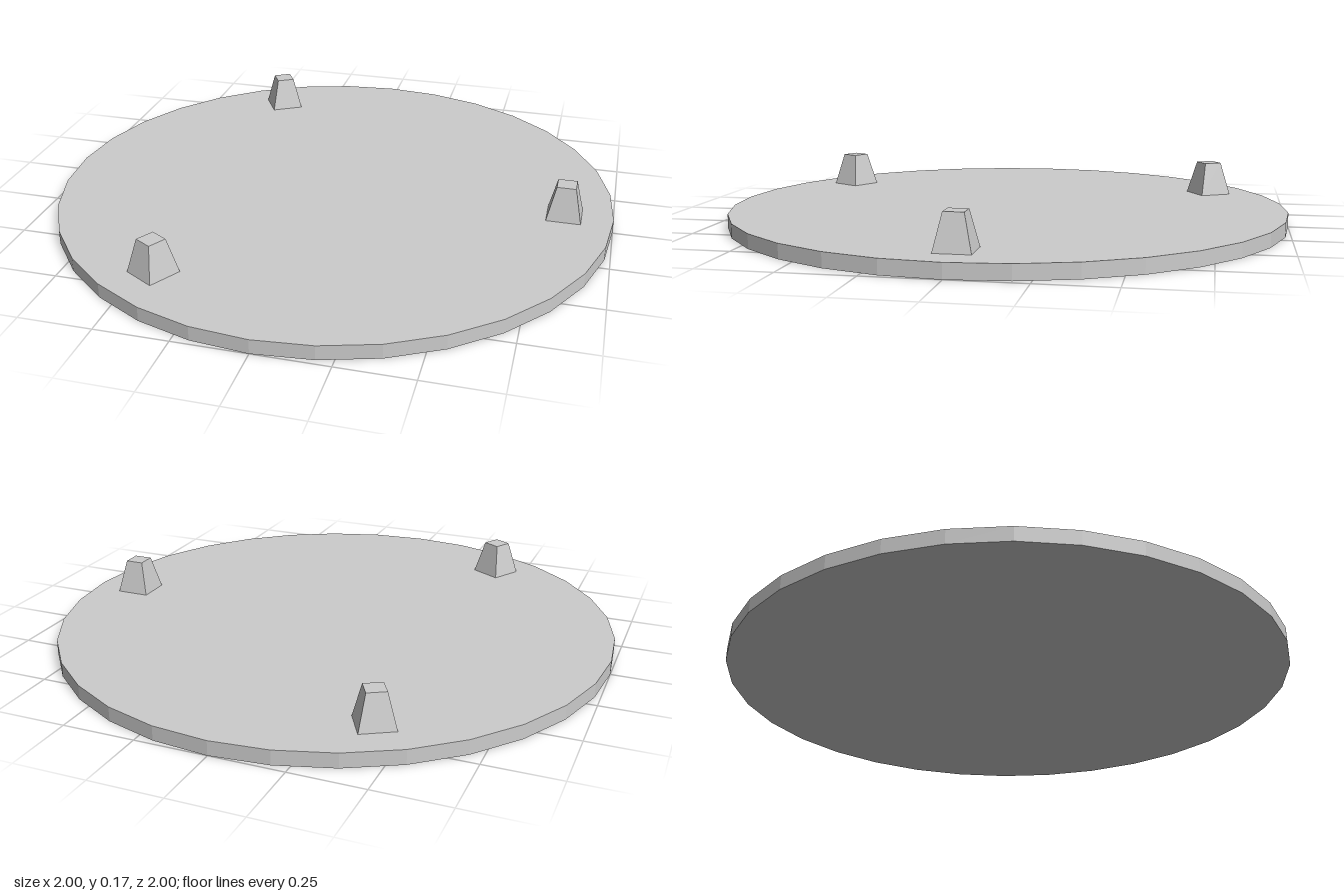
import * as THREE from 'three';

export function createModel() {
  const model = new THREE.Group();
  const grey = new THREE.MeshStandardMaterial({ color: 0xcccccc });
  grey.name = 'light grey';
  grey.flatShading = true;

  // Thin round plate with 32 sides
  const plateHeight = 0.05;
  const plate = new THREE.Mesh(new THREE.CylinderGeometry(1, 1, plateHeight, 32), grey);
  plate.name = 'plate';
  plate.position.y = plateHeight / 2;
  model.add(plate);

  // Three tapered square pegs, evenly spaced and facing the centre
  const pegHeight = 0.12, pegRadius = 0.83;
  const pegGeometry = new THREE.CylinderGeometry(
    0.033 * Math.SQRT2, 0.06 * Math.SQRT2, pegHeight, 4);
  pegGeometry.rotateY(Math.PI / 4);
  for (let i = 0; i < 3; i++) {
    const angle = (i * Math.PI * 2) / 3;
    const peg = new THREE.Mesh(pegGeometry, grey);
    peg.name = `peg${i + 1}`;
    peg.position.set(Math.cos(angle) * pegRadius, plateHeight + pegHeight / 2, -Math.sin(angle) * pegRadius);
    peg.rotation.y = angle;
    model.add(peg);
  }
  return model;
}
